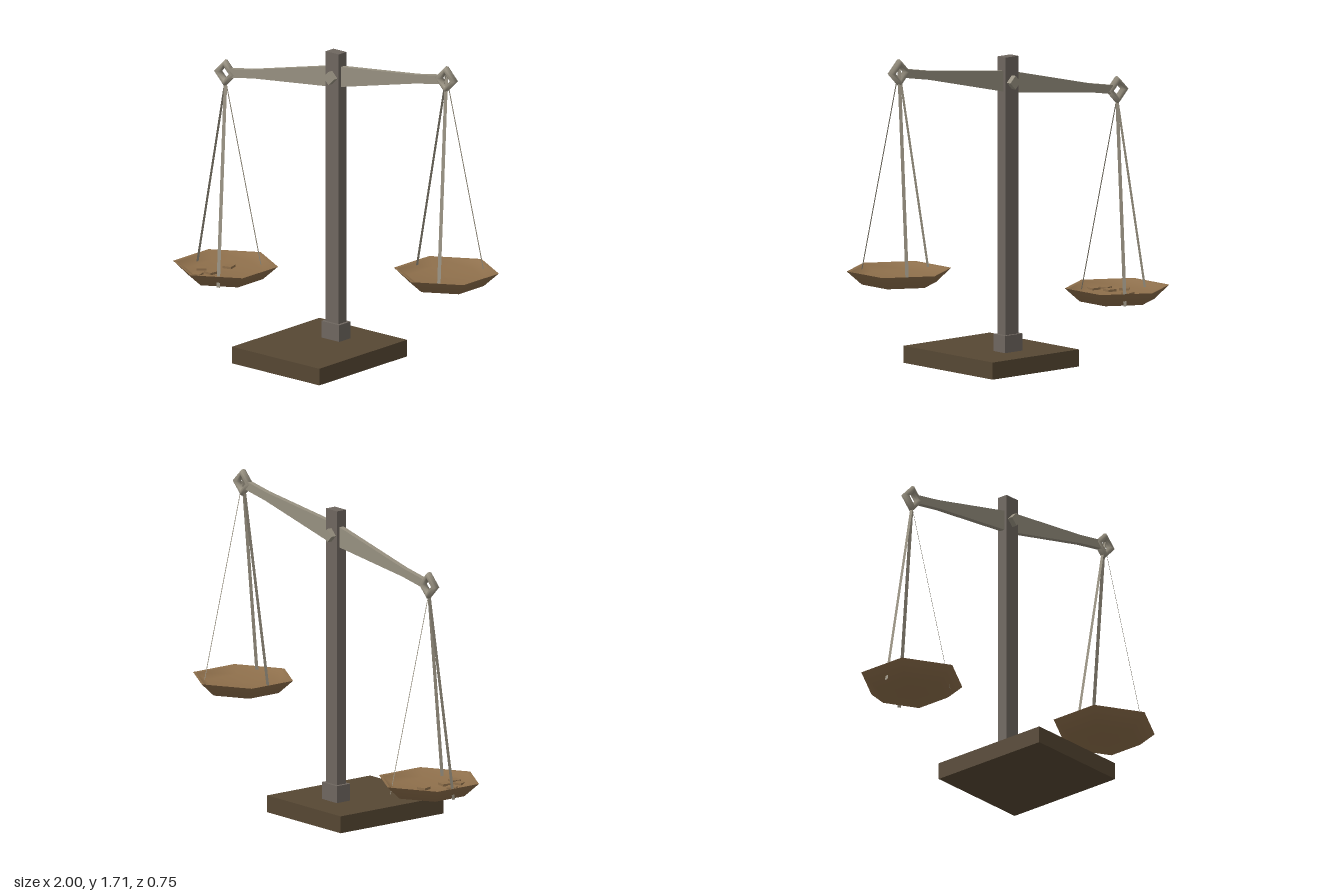
import * as THREE from 'three';

export function createModel() {
  const model = new THREE.Group();
  const mat = (name, color) => {
    const m = new THREE.MeshStandardMaterial({ color });
    m.name = name;
    return m;
  };
  const darkWood = mat('darkWood', 0x564733);
  const tanPan = mat('tanPan', 0x8e6f4b);
  const darkIron = mat('darkIron', 0x6e665f);
  const paleIron = mat('paleIron', 0x979080);
  paleIron.side = THREE.DoubleSide; // the hangers are flat strips

  const Z = -0.1; // depth of the post, beam and pans
  const add = (name, geo, material, x, y, z, parent = model) => {
    const mesh = new THREE.Mesh(geo, material);
    mesh.name = name;
    mesh.position.set(x, y, z);
    parent.add(mesh);
    return mesh;
  };

  // Stand
  add('base', new THREE.BoxGeometry(0.6, 0.09, 0.69), darkWood, 0, 0.045, 0.03);
  add('collar', new THREE.BoxGeometry(0.123, 0.09, 0.09), darkIron, 0, 0.135, Z);
  add('post', new THREE.BoxGeometry(0.09, 1.55, 0.06), darkIron, 0, 0.865, Z);
  add('pivotBolt', new THREE.BoxGeometry(0.051, 0.051, 0.118), paleIron, 0, 1.507, Z).rotation.z = Math.PI / 4;

  // Tapered beam, tilted up towards +x
  const profile = [[-0.73, -0.023], [-0.57, -0.023], [0, -0.056], [0.57, -0.023], [0.73, -0.023],
    [0.73, 0.023], [0.57, 0.023], [0, 0.056], [-0.57, 0.023], [-0.73, 0.023]];
  const beamShape = new THREE.Shape(profile.map(([x, y]) => new THREE.Vector2(x, y)));
  const beamGeo = new THREE.ExtrudeGeometry(beamShape, { depth: 0.028, bevelEnabled: false });
  beamGeo.translate(0, 0, -0.014);
  add('beam', beamGeo, paleIron, 0, 1.507, Z).rotation.z = Math.atan2(0.265, 1.52);

  // Flat hanger strip from the ring down to the pan, its face turned outwards
  function hanger(angle, drop, reach) {
    const c = Math.cos(angle), s = Math.sin(angle), w = 0.009;
    const top = new THREE.Vector3(0, 0, 0);
    const end = new THREE.Vector3(c * reach, -drop, s * reach);
    const side = new THREE.Vector3(-s * w, 0, c * w);
    const corners = [top.clone().sub(side), top.clone().add(side), end.clone().add(side), end.clone().sub(side)];
    const geo = new THREE.BufferGeometry().setFromPoints(corners);
    geo.setIndex([0, 1, 2, 0, 2, 3]);
    geo.computeVertexNormals();
    return geo;
  }

  // Six-sided pan profiles, measured from the underside
  const lathe = (pts) => new THREE.LatheGeometry(pts.map(([r, y]) => new THREE.Vector2(r, y)), 6);
  const panParts = {
    panOutside: lathe([[0, 0], [0.197, 0], [0.277, 0.072]]),
    panRim: lathe([[0.277, 0.072], [0.26, 0.069]]),
    panInside: lathe([[0.26, 0.069], [0.205, 0.036], [0, 0.032]]),
  };
  const ringGeo = new THREE.TorusGeometry(0.051, 0.0215, 8, 4);

  // Ring, hangers and pan for each end
  const ends = [
    { name: 'right', x: -0.76, ringY: 1.375, panY: 0.268, topY: 1.335 },
    { name: 'left', x: 0.76, ringY: 1.64, panY: 0.533, topY: 1.66 },
  ];
  for (const e of ends) {
    const side = new THREE.Group();
    side.name = e.name + 'Scale';
    model.add(side);
    add('ring', ringGeo, paleIron, e.x, e.ringY, Z, side);
    for (const a of [Math.PI / 3, Math.PI, -Math.PI / 3]) {
      add('hanger', hanger(a, 1.065, 0.202), paleIron, e.x, e.topY, Z, side);
    }
    for (const [name, geo] of Object.entries(panParts)) {
      add(name, geo, tanPan, e.x, e.panY, Z, side);
    }
  }

  // Small square pieces lying in the lower pan: x, z, turn
  const pieces = [[-0.786, -0.155, 0.25], [-0.87, -0.035, 0.75], [-0.786, -0.015, -0.15],
    [-0.82, 0.055, 0.3], [-0.755, 0.075, -0.1]];
  for (const [x, z, turn] of pieces) {
    add('weightPiece', new THREE.BoxGeometry(0.05, 0.012, 0.05), tanPan, x, 0.308, z).rotation.y = turn;
  }
  return model;
}
